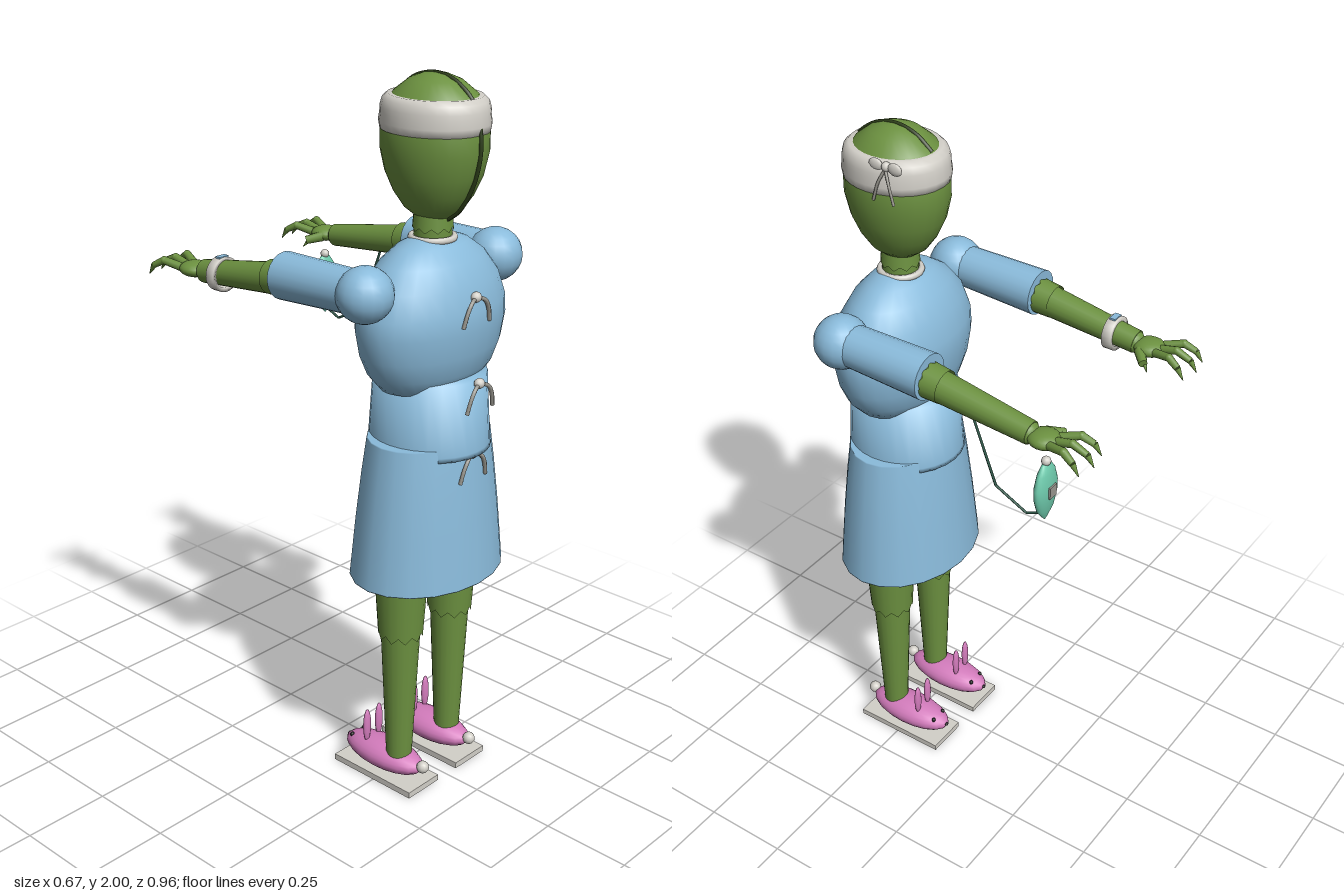
import * as THREE from 'three';

const mat = (name, color, side = THREE.FrontSide) => {
  const m = new THREE.MeshStandardMaterial({ color, side });
  m.name = name;
  return m;
};
const V = (x, y, z) => new THREE.Vector3(x, y, z);

export function createModel() {
  const skin = mat('greenSkin', 0x6c9140, THREE.DoubleSide);
  const seam = mat('darkSeam', 0x2c3d18);
  const gown = mat('blueGown', 0x8abbdb, THREE.DoubleSide);
  const cloth = mat('whiteCloth', 0xd3d0c9, THREE.DoubleSide);
  const tie = mat('greyTie', 0x9a9890);
  const pink = mat('slipperPink', 0xd47cbd);
  const teal = mat('maskTeal', 0x6fcbad);
  const hose = mat('hoseGreen', 0x2f5a4a);
  const black = mat('eyeBlack', 0x1a1a1a);

  const model = new THREE.Group();
  model.name = 'patient';
  const Z = 0.295; // depth of the body axis

  const add = (parent, name, geo, m, p = [0, 0, 0], s = [1, 1, 1]) => {
    const mesh = new THREE.Mesh(geo, m);
    mesh.name = name;
    mesh.position.set(...p);
    mesh.scale.set(...s);
    parent.add(mesh);
    return mesh;
  };
  const group = (parent, name) => {
    const g = new THREE.Group();
    g.name = name;
    parent.add(g);
    return g;
  };
  const ball = (parent, name, m, p, s, n = 18) =>
    add(parent, name, new THREE.SphereGeometry(1, n, Math.max(8, n * 0.7 | 0)), m, p, s);
  const lathe = (parent, name, pts, m, p, s, n = 28) =>
    add(parent, name, new THREE.LatheGeometry(pts.map(a => new THREE.Vector2(...a)), n), m, p, s);
  const cord = (parent, name, pts, r, m, seg = 14) =>
    add(parent, name, new THREE.TubeGeometry(new THREE.CatmullRomCurve3(pts), seg, r, 6), m);
  // Tapered limb from a to b; jag gives its far end a zigzag hem
  const limb = (parent, name, a, b, ra, rb, m, jag = 0, n = 20) => {
    const d = b.clone().sub(a), h = d.length();
    const geo = new THREE.CylinderGeometry(rb, ra, h, n, 1, jag > 0);
    if (jag) {
      const p = geo.attributes.position;
      for (let i = n + 1; i < p.count; i++) p.setY(i, 0); 
      for (let i = 0; i <= n; i++) {
        p.setY(i, h / 2 - (i % 2) * jag);
        p.setY(i + n + 1, -h / 2);
      }
    }
    const mesh = add(parent, name, geo, m);
    mesh.position.copy(a).addScaledVector(d, 0.5);
    mesh.quaternion.setFromUnitVectors(V(0, 1, 0), d.normalize());
    return mesh;
  };

  // Head and neck
  const head = group(model, 'head');
  const headProfile = [[0, 1.625], [0.04, 1.635], [0.07, 1.66], [0.095, 1.70], [0.115, 1.75], [0.127, 1.81],
    [0.127, 1.86], [0.118, 1.91], [0.098, 1.95], [0.062, 1.982], [0.03, 1.996], [0, 2.0]];
  lathe(head, 'skull', headProfile, skin, [0, 0, Z], [1, 1, 1.16]);
  const ridge = headProfile.slice(1).map(([r, y]) => V(0, y - 0.002, Z + r * 1.16));
  ridge.push(...[10, 9, 8].map(i => V(0, headProfile[i][1] - 0.002, Z - headProfile[i][0] * 1.16)));
  cord(head, 'scalpSeam', ridge, 0.006, seam, 50);
  lathe(head, 'headband', [[0.118, 1.858], [0.129, 1.860], [0.132, 1.88], [0.129, 1.902], [0.129, 1.915],
    [0.124, 1.935], [0.112, 1.947], [0.095, 1.946]], cloth, [0, 0, Z], [1, 1, 1.14]);
  limb(head, 'neck', V(0, 1.53, Z), V(0, 1.65, Z), 0.05, 0.05, skin);
  limb(head, 'neckEdge', V(0, 1.65, Z), V(0, 1.60, Z), 0.05, 0.054, skin, 0.012);
  const collar = add(model, 'collar', new THREE.TorusGeometry(0.056, 0.009, 8, 28), cloth, [0, 1.582, Z]);
  collar.rotation.x = Math.PI / 2;

  // Bow on the side of the headband
  const bow = group(head, 'headbandBow');
  ball(bow, 'knot', cloth, [0.113, 1.937, 0.24], [0.013, 0.013, 0.013], 12);
  for (const s of [-1, 1]) {
    ball(bow, 'loop', cloth, [0.117, 1.938, 0.24 + s * 0.03], [0.008, 0.017, 0.022], 12);
    cord(bow, 'tail', [V(0.118, 1.932, 0.24), V(0.128, 1.895, 0.24 + s * 0.017),
      V(0.130, 1.845, 0.24 + s * 0.032)], 0.004, tie);
  }

  // Gown
  const body = group(model, 'gown');
  lathe(body, 'bodice', [[0.0, 1.59], [0.06, 1.588], [0.115, 1.568], [0.17, 1.53], [0.215, 1.475], [0.24, 1.41],
    [0.243, 1.36], [0.23, 1.295], [0.205, 1.24], [0.165, 1.195], [0, 1.17]].reverse(), gown, [0, 0, Z], [1, 1, 0.635]);
  lathe(body, 'waist', [[0, 1.015], [0.163, 1.018], [0.161, 1.03], [0.149, 1.225], [0.0, 1.228]],
    gown, [0, 0, Z], [1, 1, 1.03]);
  lathe(body, 'skirt', [[0, 0.65], [0.24, 0.65], [0.24, 0.652], [0.222, 0.82], [0.205, 0.95], [0.19, 1.047],
    [0.188, 1.05], [0, 1.05]], gown, [0, 0, Z], [1, 1, 0.775], 20);

  // Ties along the gown opening
  for (const [y, z] of [[1.45, 0.443], [1.222, 0.462], [1.022, 0.446]]) {
    const g = group(body, 'gownTie');
    ball(g, 'knot', cloth, [0, y, z], [0.016, 0.014, 0.014], 12);
    for (const s of [-1, 1])
      cord(g, 'tail', [V(0, y, z), V(s * 0.026, y - 0.01, z + 0.008), V(s * 0.042, y - 0.035, z + 0.008),
        V(s * 0.052, y - 0.072, z + 0.004)], 0.006, tie);
  }

  for (const s of [-1, 1]) {
    const side = s > 0 ? 'left' : 'right';
    const X = 0.2575 * s;

    // Arm, reaching straight out
    const arm = group(model, side + 'Arm');
    ball(arm, 'shoulder', gown, [X, 1.483, 0.297], [0.076, 0.074, 0.075]);
    limb(arm, 'sleeve', V(X, 1.483, 0.27), V(X, 1.476, 0.014), 0.058, 0.064, gown);
    limb(arm, 'forearm', V(X, 1.468, 0.03), V(X, 1.426, -0.295), 0.045, 0.032, skin);
    limb(arm, 'elbowEdge', V(X, 1.463, -0.035), V(X, 1.468, 0.02), 0.046, 0.049, skin, 0.01);
    ball(arm, 'wrist', skin, [X, 1.426, -0.285], [0.032, 0.032, 0.03]);
    ball(arm, 'palm', skin, [X, 1.425, -0.335], [0.043, 0.022, 0.046]);
    for (const f of [-1, 0, 1]) {
      const a = V(X + f * 0.024, 1.428, -0.365);
      const b = V(X + f * 0.042, 1.441, -0.415);
      const c = V(X + f * 0.051, 1.424, f ? -0.447 : -0.458);
      const d = V(X + f * 0.053, 1.395, f ? -0.467 : -0.478);
      limb(arm, 'fingerBase', a, b, 0.012, 0.011, skin, 0, 10);
      ball(arm, 'knuckle', skin, b.toArray(), [0.0115, 0.0115, 0.0115], 10);
      limb(arm, 'fingerTip', b, c, 0.011, 0.009, skin, 0, 10);
      limb(arm, 'claw', c, d, 0.009, 0.001, skin, 0, 10);
    }
    limb(arm, 'thumb', V(X - s * 0.03, 1.423, -0.32), V(X - s * 0.066, 1.412, -0.353), 0.015, 0.012, skin, 0, 10);
    limb(arm, 'thumbClaw', V(X - s * 0.052, 1.418, -0.345), V(X - s * 0.066, 1.39, -0.365), 0.01, 0.001, skin, 0, 10);

    // Leg
    const leg = group(model, side + 'Leg');
    const L = 0.105 * s;
    limb(leg, 'thigh', V(L, 0.70, Z), V(L, 0.465, Z), 0.077, 0.062, skin, 0.018);
    limb(leg, 'calf', V(L, 0.54, Z), V(L, 0.07, Z), 0.058, 0.036, skin);

    // Rabbit slipper
    const shoe = group(model, side + 'Slipper');
    const F = 0.1025 * s;
    add(shoe, 'sole', new THREE.BoxGeometry(0.125, 0.018, 0.288), cloth, [F, 0.009, 0.244]);
    ball(shoe, 'upper', pink, [F, 0.06, 0.238], [0.06, 0.042, 0.139]);
    ball(shoe, 'tail', cloth, [F, 0.072, 0.383], [0.018, 0.018, 0.018], 12);
    ball(shoe, 'nose', black, [F, 0.062, 0.101], [0.007, 0.005, 0.005], 8);
    for (const e of [-1, 1]) {
      ball(shoe, 'ear', pink, [F + e * 0.025, 0.138, 0.192], [0.014, 0.053, 0.009], 12);
      ball(shoe, 'eye', black, [F + e * 0.024, 0.082, 0.133], [0.007, 0.007, 0.006], 8);
    }
  }

  // Wristband on the right arm
  const band = group(model, 'wristband');
  band.position.set(-0.2575, 1.432, -0.225);
  const ring = lathe(band, 'strap', [[0.036, -0.014], [0.048, -0.014], [0.048, 0.014], [0.036, 0.014], [0.036, -0.014]],
    cloth, [0, 0, 0], [1, 1, 1]);
  ring.rotation.x = Math.PI / 2;
  add(band, 'label', new THREE.BoxGeometry(0.032, 0.008, 0.018), gown, [0, 0.046, 0]);

  // Breathing mask hanging on its hose from the left arm
  const mask = group(model, 'breathingMask');
  lathe(mask, 'cup', [[0, -0.10], [0.012, -0.088], [0.034, -0.06], [0.046, -0.02], [0.047, 0.012], [0.036, 0.05],
    [0.018, 0.075], [0, 0.08]], teal, [0.258, 1.277, -0.341], [1, 1, 0.43]);
  ball(mask, 'topStud', cloth, [0.258, 1.36, -0.341], [0.013, 0.013, 0.013], 12);
  add(mask, 'valve', new THREE.BoxGeometry(0.03, 0.034, 0.008), tie, [0.258, 1.275, -0.361]);
  const path = [V(0.2575, 1.42, -0.115), V(0.2575, 1.22, -0.19), V(0.2575, 1.172, -0.285), V(0.2575, 1.195, -0.335)];
  for (let i = 0; i < 3; i++) limb(mask, 'hose', path[i], path[i + 1], 0.0035, 0.0035, hose, 0, 8);

  return model;
}
